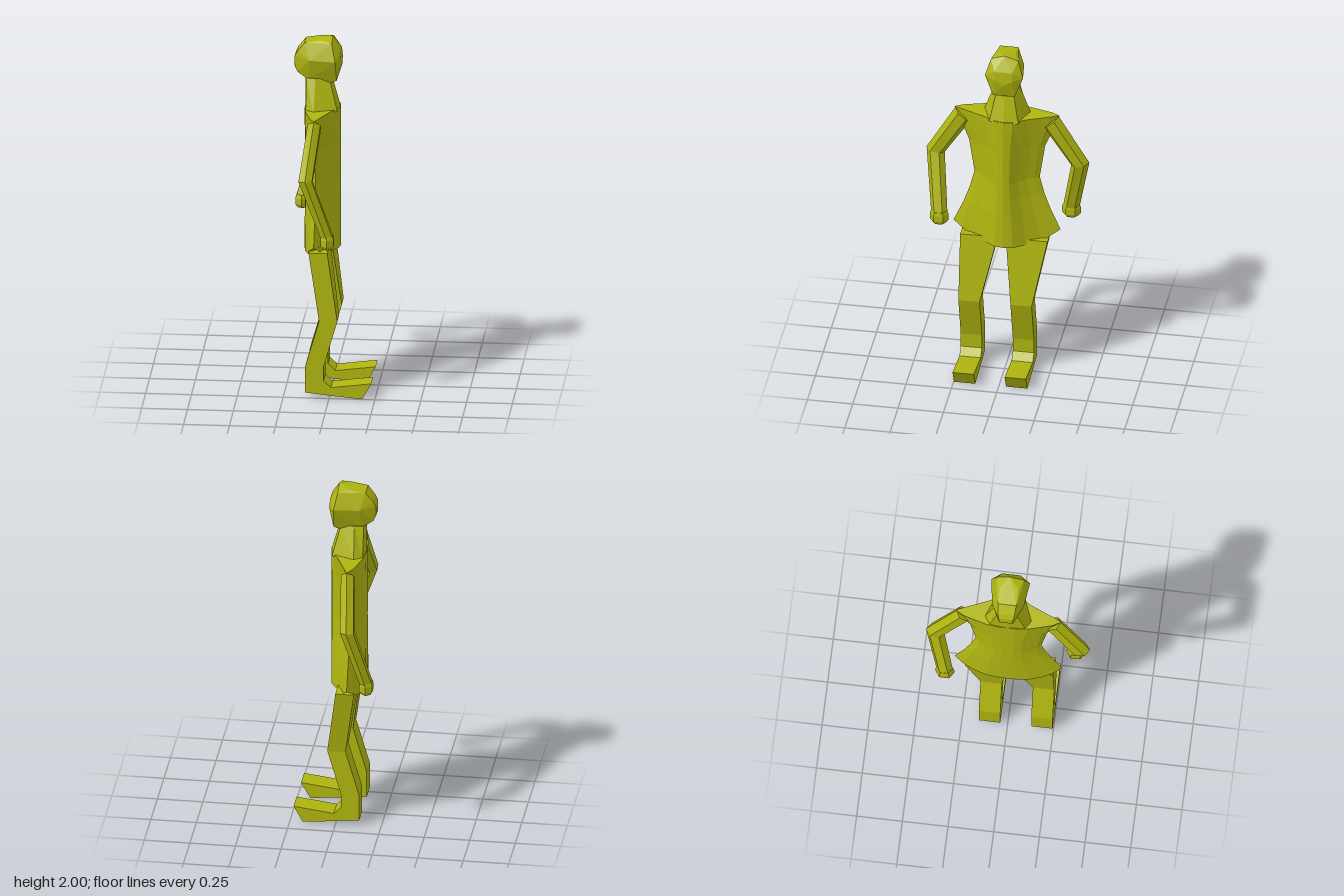
import * as THREE from 'three';
import { ConvexGeometry } from 'three/addons/geometries/ConvexGeometry.js';

const olive = new THREE.MeshStandardMaterial({ color: 0xb0b610 });
const V = (x, y, z) => new THREE.Vector3(x, y, z);

// Flat-shaded skin over a stack of rings, with closed ends
function loft(name, rings) {
  const tris = [];
  const n = rings[0].length;
  for (let r = 0; r < rings.length - 1; r++) {
    const a = rings[r], b = rings[r + 1];
    for (let i = 0; i < n; i++) {
      const j = (i + 1) % n;
      tris.push([a[i], b[i], b[j]], [a[i], b[j], a[j]]);
    }
  }
  const first = rings[0], last = rings[rings.length - 1];
  for (let i = 1; i < n - 1; i++) {
    tris.push([first[0], first[i], first[i + 1]], [last[0], last[i + 1], last[i]]);
  }
  // Turn the faces outward if the enclosed volume is negative
  const volume = tris.reduce((s, [a, b, c]) => s + a.dot(b.clone().cross(c)), 0);
  const points = tris.flatMap(([a, b, c]) => (volume < 0 ? [a, c, b] : [a, b, c]));
  const geo = new THREE.BufferGeometry().setFromPoints(points);
  geo.computeVertexNormals();
  return named(name, geo);
}

function named(name, geo) {
  const mesh = new THREE.Mesh(geo, olive);
  mesh.name = name;
  return mesh;
}

// Half outline [x, z] from the front to the back, mirrored in z into a ring
function mirrorRing(half, point) {
  const other = half.filter(([, z]) => z > 0).reverse().map(([x, z]) => [x, -z]);
  return [...half, ...other].map(([x, z]) => point(x, z));
}

// Lens-shaped coat with a waist and a hem that rises at the sides
function makeTorso() {
  const lens = [[0.045, 0], [0.037, 0.17], [-0.005, 0.4], [-0.04, 0.65], [-0.06, 0.85], [-0.08, 1],
    [-0.105, 0.85], [-0.122, 0.65], [-0.142, 0.4], [-0.15, 0.17], [-0.15, 0]];
  const rows = [[0.8, 0.295], [1.0, 0.24], [1.1, 0.205], [1.2, 0.18], [1.4, 0.21], [1.6, 0.29]];
  return loft('torso', rows.map(([y, w], k) => mirrorRing(lens, (x, u) => {
    const lift = k === 0 ? 0.075 * Math.max(0, (Math.abs(u) - 0.6) / 0.4) : 0;
    return V(x, y + lift, u * w);
  })));
}

function makeNeck() {
  const base = [[0.045, 0], [0.03, 0.08], [-0.095, 0.13], [-0.14, 0.1], [-0.15, 0]];
  const top = [[-0.005, 0], [-0.015, 0.045], [-0.09, 0.065], [-0.14, 0.055], [-0.15, 0]];
  return loft('neck', [
    mirrorRing(base, (x, z) => V(x, 1.59, z)),
    mirrorRing(top, (x, z) => V(x, 1.77, z)),
  ]);
}

// Faceted head from mirrored corner points
function makeHead() {
  const half = [[-0.205, 1.83, 0.035], [-0.205, 1.89, 0.04], [-0.19, 1.92, 0.045], [-0.15, 1.97, 0.05],
    [-0.13, 1.76, 0.05], [-0.19, 1.8, 0.04], [-0.12, 1.88, 0.087], [-0.06, 1.985, 0.05],
    [0.0, 1.975, 0.075], [0.02, 1.88, 0.105], [0.05, 1.87, 0.05], [0.045, 1.92, 0.05],
    [0.025, 1.76, 0.06], [-0.02, 1.735, 0.045]];
  const pts = half.flatMap(([x, y, z]) => [V(x, y, z), V(x, y, -z)]);
  pts.push(V(0, 2, 0), V(0.052, 1.84, 0), V(-0.21, 1.86, 0));
  return named('head', new ConvexGeometry(pts));
}

// Six-sided ring spanning an outer and an inner point, with half width w in x
function hexRing(outer, inner, w) {
  const mid = outer.clone().add(inner).multiplyScalar(0.5);
  const half = outer.clone().sub(mid);
  return Array.from({ length: 6 }, (_, i) => {
    const a = (i * Math.PI) / 3;
    return mid.clone().addScaledVector(half, Math.cos(a)).add(V(Math.sin(a) * w * 1.15, 0, 0));
  });
}

// Bent arm and closed hand; s is the side, hx and hz place the hand
function makeArm(name, s, elbowX, hx, hz) {
  const arm = new THREE.Group();
  arm.name = name;
  arm.add(loft('sleeve', [
    hexRing(V(-0.08, 1.595, s * 0.285), V(-0.08, 1.52, s * 0.2), 0.035),
    hexRing(V(elbowX, 1.305, s * 0.45), V(elbowX, 1.28, s * 0.35), 0.037),
    hexRing(V(hx, 0.96, s * (hz + 0.045)), V(hx, 0.96, s * (hz - 0.045)), 0.033),
  ]));
  const ring = (y, k) => hexRing(V(hx, y, s * (hz + 0.052 * k)), V(hx, y, s * (hz - 0.052 * k)), 0.036 * k);
  arm.add(loft('hand', [ring(0.975, 0.85), ring(0.955, 1), ring(0.92, 1), ring(0.9, 0.7)]));
  return arm;
}

// Leg and shoe: each section is [back x, y, front x, y, z from, z to]
function makeLeg(name, z0, z1, top0, top1) {
  const sections = [
    [0.18, 0, 0.23, 0.09, z0, z1],
    [0.0, 0.016, 0.01, 0.062, z0, z1],
    [-0.13, 0.03, -0.03, 0.1, z0, z1],
    [-0.13, 0.18, -0.03, 0.18, z0, z1],
    [-0.055, 0.44, 0.045, 0.44, z0, z1],
    [-0.112, 0.83, -0.01, 0.83, top0, top1],
  ];
  return loft(name, sections.map(([bx, by, fx, fy, a, b]) => [
    V(bx, by, a), V(fx, fy, a), V(fx, fy, b), V(bx, by, b),
  ]));
}

export function createModel() {
  const model = new THREE.Group();
  model.name = 'standingFigure';
  model.add(
    makeTorso(),
    makeNeck(),
    makeHead(),
    makeArm('armNear', 1, -0.115, 0.0, 0.36),
    makeArm('armFar', -1, -0.1, -0.195, 0.335),
    makeLeg('legNear', 0.13, 0.247, 0.04, 0.247),
    makeLeg('legFar', -0.157, -0.04, -0.235, -0.005),
  );
  return model;
}
